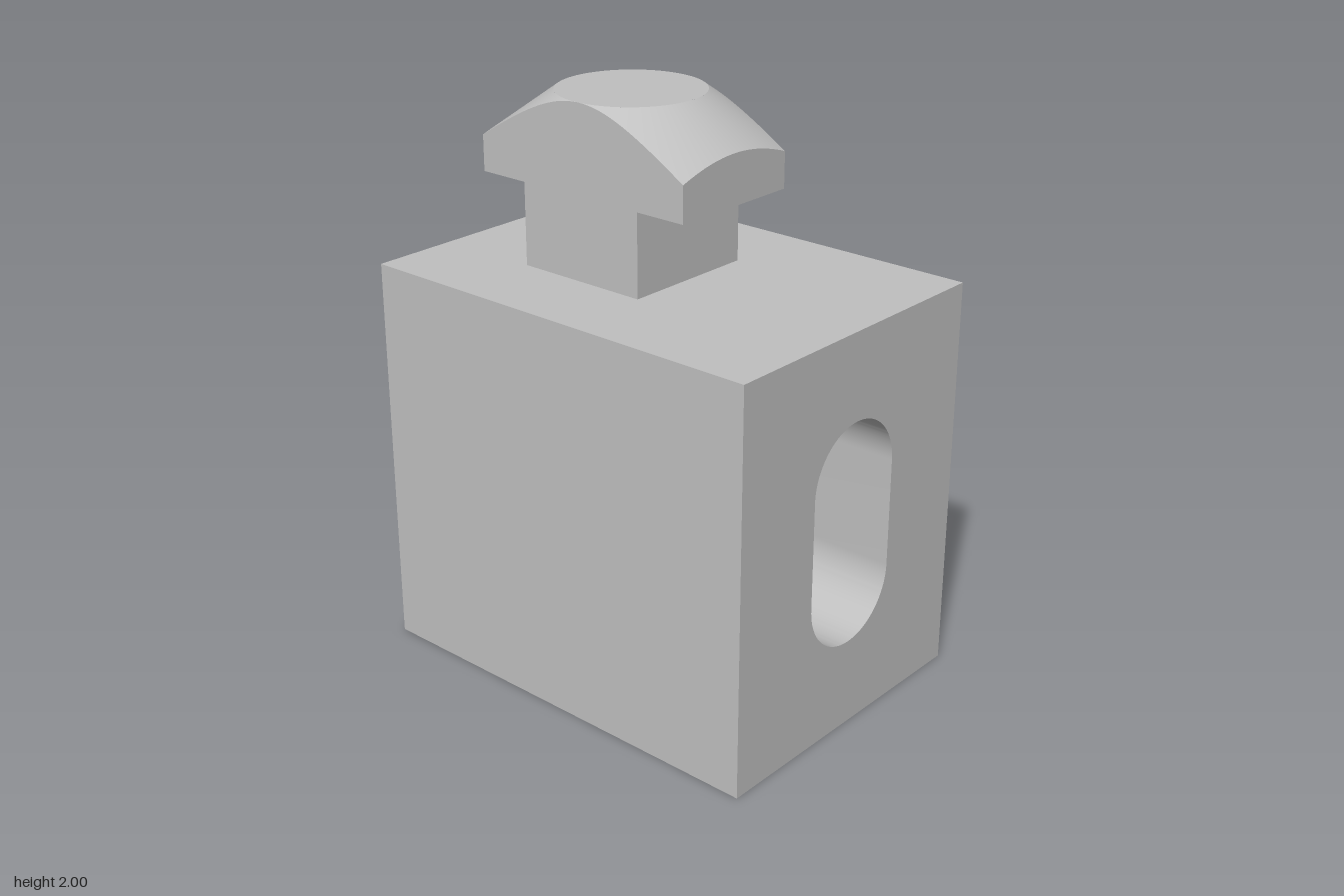
import * as THREE from 'three';
import { toCreasedNormals } from 'three/addons/utils/BufferGeometryUtils.js';

const W = 0.78, D = 0.563, H = 1.405;         // body half width, half depth, height
const CX = -0.157;                            // shared centre of head, stem and pocket
const HX = 0.437, HZ = 0.25, R = 0.25;        // head half sizes and flat cap radius
const SLOPE = 0.718, HEAD_BASE = 1.693;

// Body cross-section in the depth/height plane, optionally notched from below
function sectionShape(notched) {
  const s = new THREE.Shape();
  s.moveTo(-D, 0);
  if (notched) {
    s.lineTo(-0.3, 0).lineTo(-0.3, 1.2).lineTo(0.3, 1.2).lineTo(0.3, 0);
  }
  s.lineTo(D, 0).lineTo(D, H).lineTo(-D, H).closePath();
  if (!notched) {
    const r = 0.205, slot = new THREE.Path();
    slot.absarc(0, 0.895, r, 0, Math.PI, false);
    slot.absarc(0, 0.517, r, Math.PI, Math.PI * 2, false);
    slot.closePath();
    s.holes.push(slot);
  }
  return s;
}

// Extrude a cross-section along x
function sectionGeometry(shape, x0, x1) {
  const g = new THREE.ExtrudeGeometry(shape, { depth: x1 - x0, bevelEnabled: false, curveSegments: 32 });
  g.rotateY(Math.PI / 2).translate(x0, 0, 0);
  return toCreasedNormals(g, 0.5);
}

// Closed band of faces between an upper and a lower loop of points
function band(upper, lower) {
  const n = upper.length, index = [];
  for (let i = 0; i < n; i++) {
    const j = (i + 1) % n;
    index.push(i, j, n + j, i, n + j, n + i);
  }
  const g = new THREE.BufferGeometry().setFromPoints([...upper, ...lower]);
  g.setIndex(index);
  return g;
}

// Points around the head's rectangular outline, from +x towards +z
function outline() {
  const corners = [[HX, -HZ], [HX, HZ], [-HX, HZ], [-HX, -HZ]], pts = [];
  corners.forEach(([x, z], k) => {
    const [x2, z2] = corners[(k + 1) % 4], n = k % 2 ? 40 : 24;
    for (let i = 0; i < n; i++) pts.push([x + (x2 - x) * i / n, z + (z2 - z) * i / n]);
  });
  return pts;
}

export function createModel() {
  const grey = new THREE.MeshStandardMaterial({ color: 0xc0c0c0 });
  grey.name = 'lightGrey';
  const model = new THREE.Group();
  const add = (parent, name, geometry) => {
    const mesh = new THREE.Mesh(geometry, grey);
    mesh.name = name;
    parent.add(mesh);
    return mesh;
  };

  // Block with a long slot through it and a pocket open at the bottom
  const body = new THREE.Group();
  body.name = 'body';
  const p0 = CX - 0.153, p1 = CX + 0.157;
  add(body, 'rightSlottedSection', sectionGeometry(sectionShape(false), -W, p0));
  add(body, 'pocketSection', sectionGeometry(sectionShape(true), p0, p1));
  add(body, 'leftSlottedSection', sectionGeometry(sectionShape(false), p1, W));
  model.add(body);

  // Square stem
  const stemHeight = HEAD_BASE - H;
  add(model, 'stem', new THREE.BoxGeometry(0.497, stemHeight, HZ * 2)
    .translate(CX, H + stemHeight / 2, 0));

  // Rectangular head trimmed by a cone, with a round flat cap
  const head = new THREE.Group();
  head.name = 'head';
  head.position.x = CX;
  const rim = outline();
  const ring = rim.map(([x, z]) => {
    const d = Math.hypot(x, z);
    return new THREE.Vector3(x / d * R, 2, z / d * R);
  });
  const edge = rim.map(([x, z]) => new THREE.Vector3(x, 2 - SLOPE * (Math.hypot(x, z) - R), z));
  const base = rim.map(([x, z]) => new THREE.Vector3(x, HEAD_BASE, z));

  const cone = band(ring, edge);
  cone.computeVertexNormals();
  add(head, 'headCone', cone);

  const walls = band(edge, base).toNonIndexed();
  walls.computeVertexNormals();
  add(head, 'headWalls', walls);

  add(head, 'headCap', new THREE.CircleGeometry(R, 96).rotateX(-Math.PI / 2).translate(0, 2, 0));
  add(head, 'headUnderside', new THREE.PlaneGeometry(HX * 2, HZ * 2)
    .rotateX(Math.PI / 2).translate(0, HEAD_BASE, 0));
  model.add(head);

  return model;
}
